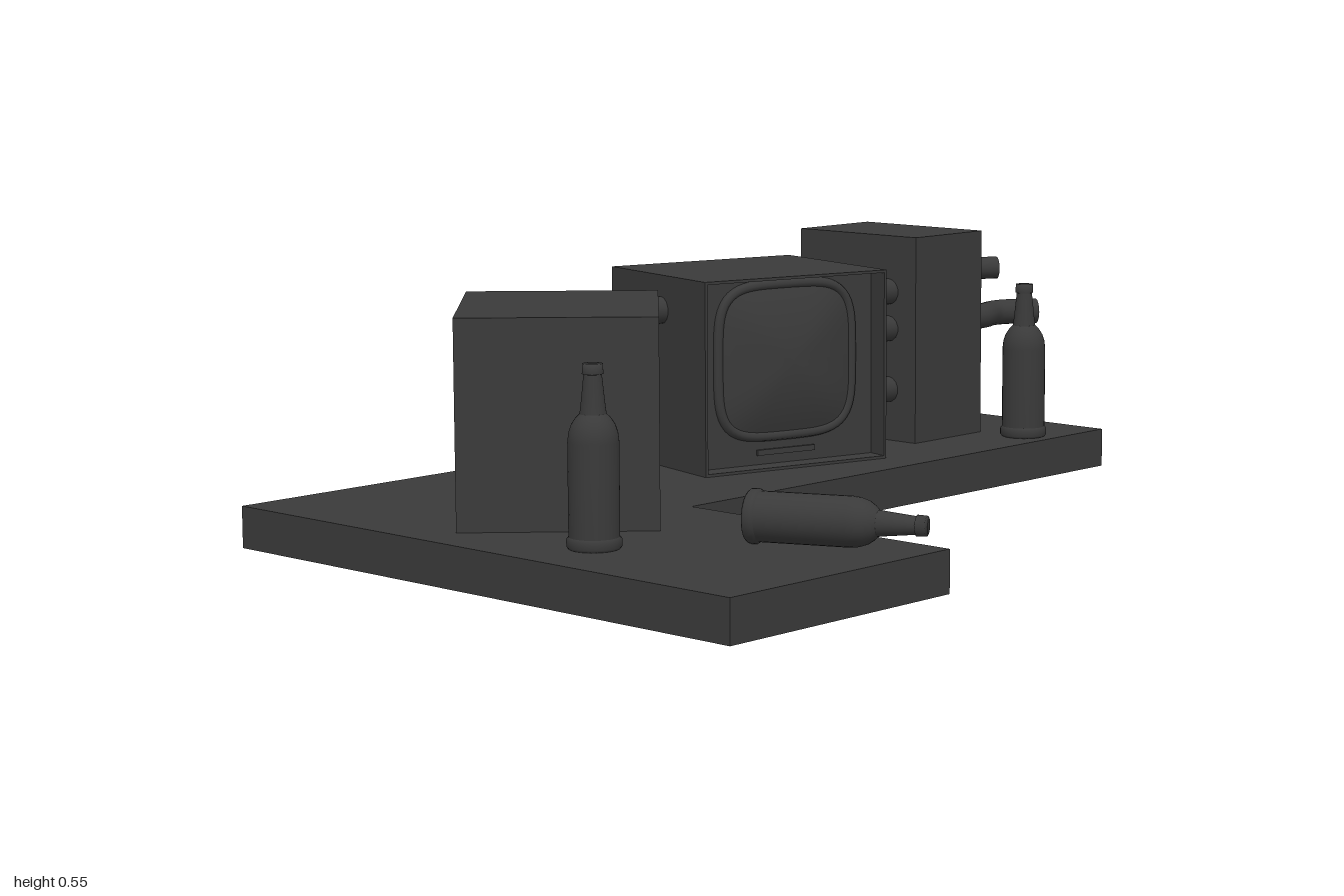
import * as THREE from 'three';

const material = new THREE.MeshStandardMaterial({ color: 0x3a3a3a, side: THREE.DoubleSide });
const TOP = 0.085; // height of the counter surface

function add(parent, name, geometry, x = 0, y = 0, z = 0) {
  const mesh = new THREE.Mesh(geometry, material);
  mesh.name = name;
  mesh.position.set(x, y, z);
  parent.add(mesh);
  return mesh;
}

// L-shaped counter: a top sheet with a skirt, open underneath
function createCounter() {
  const counter = new THREE.Group();
  counter.name = 'counter';
  const outline = [[-0.67, -0.94], [0, -0.94], [0, 0.41], [0.665, 0.41], [0.665, 1], [-0.67, 1]];
  const shape = new THREE.Shape(outline.map(([x, z]) => new THREE.Vector2(x, -z)));
  add(counter, 'counterTop', new THREE.ShapeGeometry(shape).rotateX(-Math.PI / 2), 0, TOP, 0);
  outline.forEach(([x, z], i) => {
    const [x2, z2] = outline[(i + 1) % outline.length];
    const skirt = new THREE.PlaneGeometry(Math.hypot(x2 - x, z2 - z), TOP);
    const side = add(counter, 'counterSkirt', skirt, (x + x2) / 2, TOP / 2, (z + z2) / 2);
    side.rotation.y = Math.atan2(z2 - z, -(x2 - x)) + 0;
    side.rotation.y = Math.atan2(z2 - z, x - x2) + Math.PI;
    side.rotation.y = Math.atan2(z2 - z, -(x2 - x)) === 0 ? 0 : Math.atan2(z2 - z, -(x2 - x));
    side.lookAt(side.position.x + (z2 - z), side.position.y, side.position.z - (x2 - x));
  });
  return counter;
}

// Point on a rounded square of half-size a by b
function roundedSquare(angle, a, b) {
  const power = (v) => Math.sign(v) * Math.abs(v) ** 0.48;
  return [a * power(Math.cos(angle)), b * power(Math.sin(angle))];
}

function createTelevision(x, z, turn) {
  const W = 0.457, H = 0.41, D = 0.387, recess = 0.05, wall = 0.006;
  const tv = new THREE.Group();
  tv.name = 'television';
  tv.position.set(x, TOP, z);
  tv.rotation.y = turn;

  // Cabinet body and the thin hood around the recessed face
  const face = D / 2 - recess;
  add(tv, 'cabinet', new THREE.BoxGeometry(W, H, D - recess), 0, H / 2, -recess / 2);
  const rectangle = (Kind, w, h) => new Kind([[-w, -h], [w, -h], [w, h], [-w, h]].map((p) => new THREE.Vector2(...p)));
  const frame = rectangle(THREE.Shape, W / 2, H / 2);
  frame.holes.push(rectangle(THREE.Path, W / 2 - wall, H / 2 - wall));
  add(tv, 'hood', new THREE.ExtrudeGeometry(frame, { depth: recess, bevelEnabled: false }), 0, H / 2, face);

  // Bulging glass made from a disc pushed into a rounded square
  const glass = new THREE.RingGeometry(0.001, 1, 64, 10);
  const p = glass.attributes.position;
  for (let i = 0; i < p.count; i++) {
    const r = Math.hypot(p.getX(i), p.getY(i));
    const [u, v] = roundedSquare(Math.atan2(p.getY(i), p.getX(i)), 0.163 * r, 0.157 * r);
    p.setXYZ(i, u, v, 0.006 + 0.03 * (1 - r * r));
  }
  glass.computeVertexNormals();
  add(tv, 'screen', glass, 0, 0.228, face);

  // Raised rim round the glass
  const points = [];
  for (let i = 0; i < 48; i++) {
    const [u, v] = roundedSquare((i + 0.5) / 48 * Math.PI * 2, 0.168, 0.162);
    points.push(new THREE.Vector3(u, v, 0));
  }
  const loop = new THREE.CatmullRomCurve3(points, true);
  add(tv, 'screenRim', new THREE.TubeGeometry(loop, 96, 0.011, 8, true), 0, 0.228, face + 0.002);

  add(tv, 'controlStrip', new THREE.BoxGeometry(0.145, 0.012, 0.012), 0, 0.032, face);
  return tv;
}

// Bottle standing on its own origin
function createBottle(name) {
  const bottle = new THREE.Group();
  bottle.name = name;
  const sections = {
    foot: [[0, 0], [0.048, 0], [0.052, 0.005], [0.052, 0.018], [0.048, 0.023]],
    body: [[0.048, 0.023], [0.048, 0.2], [0.046, 0.217], [0.041, 0.232], [0.033, 0.244], [0.025, 0.252]],
    neck: [[0.025, 0.252], [0.023, 0.268], [0.017, 0.325]],
    lip: [[0.017, 0.325], [0.02, 0.326], [0.019, 0.345], [0, 0.345]],
  };
  for (const [part, profile] of Object.entries(sections)) {
    add(bottle, part, new THREE.LatheGeometry(profile.map((q) => new THREE.Vector2(...q)), 28));
  }
  return bottle;
}

// Level hose through [x, z] points, closed by discs at both ends
function createHose(name, path, y, radius) {
  const hose = new THREE.Group();
  hose.name = name;
  const curve = new THREE.CatmullRomCurve3(path.map(([x, z]) => new THREE.Vector3(x, y, z)));
  add(hose, 'tube', new THREE.TubeGeometry(curve, 32, radius, 14));
  for (const t of [0, 1]) {
    const end = curve.getPoint(t);
    const cap = add(hose, 'endCap', new THREE.CircleGeometry(radius, 14), end.x, end.y, end.z);
    cap.lookAt(end.clone().addScaledVector(curve.getTangent(t), t ? 1 : -1));
  }
  return hose;
}

export function createModel() {
  const model = new THREE.Group();
  model.name = 'counterWithTelevisions';
  model.add(createCounter());

  // Two televisions and the tall box behind them
  model.add(createTelevision(-0.344, -0.124, 1.315));
  model.add(createTelevision(-0.159, 0.613, Math.PI * 0.75));
  add(model, 'tallBox', new THREE.BoxGeometry(0.343, 0.46, 0.23), -0.354, TOP + 0.23, -0.607);

  // Two bottles upright, one on its side
  const front = createBottle('frontBottle');
  front.position.set(0.172, TOP, 0.844);
  const back = createBottle('backBottle');
  back.position.set(-0.074, TOP, -0.742);
  const lying = createBottle('lyingBottle');
  lying.position.set(0.35, TOP + 0.052, 0.615);
  lying.quaternion.setFromUnitVectors(new THREE.Vector3(0, 1, 0), new THREE.Vector3(0.916, 0, -0.401).normalize());
  model.add(front, back, lying);

  // Hoses linking the cabinets
  model.add(createHose('frontHose', [[-0.38, 0.06], [-0.392, 0.14], [-0.385, 0.21], [-0.34, 0.27], [-0.295, 0.31], [-0.275, 0.38], [-0.25, 0.45]], 0.42, 0.029));
  for (const y of [0.42, 0.337, 0.2]) {
    model.add(createHose('middleHose', [[-0.265, -0.54], [-0.262, -0.47], [-0.262, -0.41], [-0.28, -0.35], [-0.29, -0.28]], y, 0.029));
  }

  // Loose hoses and a wire hanging off the back
  const tail = [[-0.005, -0.68], [0, -0.74], [0.014, -0.81], [-0.004, -0.88], [0.008, -0.93], [0.042, -0.98]];
  model.add(createHose('upperBackHose', tail.map(([x, z]) => [x - 0.388, z]), 0.43, 0.026));
  model.add(createHose('lowerBackHose', tail.map(([x, z]) => [x - 0.27, z]), 0.337, 0.029));
  model.add(createHose('wire', [[-0.49, -0.7], [-0.505, -0.76], [-0.46, -0.79], [-0.41, -0.81], [-0.395, -0.86], [-0.42, -0.91], [-0.425, -0.95]], 0.207, 0.006));
  return model;
}
